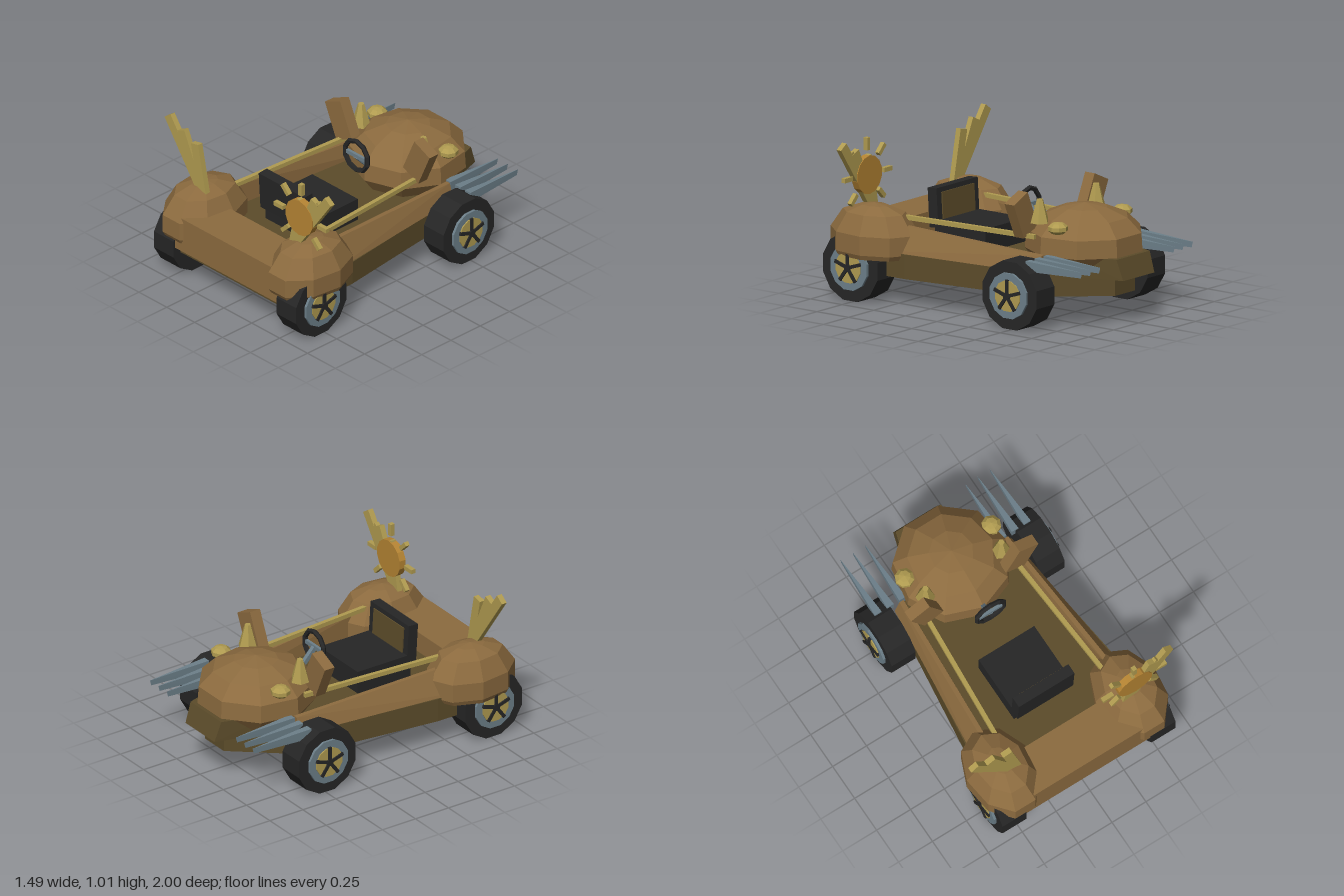
import * as THREE from 'three';
import { ConvexGeometry } from 'three/addons/geometries/ConvexGeometry.js';

const mat = (name, color) => {
  const m = new THREE.MeshStandardMaterial({ color });
  m.name = name;
  return m;
};

export function createModel() {
  const brown = mat('brown', 0x8c6b3f), olive = mat('dark olive', 0x5c4c2a);
  const black = mat('black', 0x262626), gold = mat('pale gold', 0xb09b50);
  const steel = mat('blue grey', 0x6c7f89), orange = mat('orange', 0xb58433);
  const model = new THREE.Group();

  // Adds a mesh with one normal per face
  const add = (name, geo, material, x = 0, y = 0, z = 0, parent = model) => {
    const flat = geo.index ? geo.toNonIndexed() : geo;
    flat.computeVertexNormals();
    const mesh = new THREE.Mesh(flat, material);
    mesh.name = name;
    mesh.position.set(x, y, z);
    parent.add(mesh);
    return mesh;
  };
  const box = (w, h, d) => new THREE.BoxGeometry(w, h, d);
  const hullOf = (pts) => new ConvexGeometry(pts.map((p) => new THREE.Vector3(...p)));
  const dome = (profile, sides, rx, rz) =>
    new THREE.LatheGeometry(profile.map((p) => new THREE.Vector2(...p)), sides).scale(rx, 1, rz);
  // Straight bar between two points
  const bar = (name, a, b, w, h, material) => {
    const from = new THREE.Vector3(...a), to = new THREE.Vector3(...b);
    const mesh = add(name, box(w, h, from.distanceTo(to)), material);
    mesh.position.copy(from).lerp(to, 0.5);
    mesh.lookAt(to);
    return mesh;
  };

  // Floor pan with a narrow tail
  const half = [[0.1, -0.89], [0.43, -0.5], [0.545, 0.42], [0.55, 0.93]];
  const outline = [...half, ...half.map(([x, z]) => [-x, z]).reverse()];
  const pan = new THREE.Shape(outline.map(([x, z]) => new THREE.Vector2(x, -z)));
  add('floorPan', new THREE.ExtrudeGeometry(pan, { depth: 0.155, bevelEnabled: false }).rotateX(-Math.PI / 2),
    olive, 0, 0.18, 0);

  // Front panel
  add('frontPanel', box(0.92, 0.235, 0.3), brown, 0, 0.352, 0.83);

  // Head and jaw
  add('head', dome([[0, 0.3], [0.8, 0.33], [1, 0.43], [0.98, 0.545], [0.74, 0.635], [0.38, 0.69], [0, 0.715]],
    9, 0.37, 0.376), brown, 0, 0, -0.576);
  const jaw = [];
  for (const s of [-1, 1]) {
    jaw.push([s * 0.155, 0.3, -1], [s * 0.165, 0.43, -0.955], [s * 0.26, 0.43, -0.65], [s * 0.26, 0.3, -0.65]);
  }
  add('jaw', hullOf(jaw), olive);

  // Seat with a framed backrest
  add('seatCushion', box(0.41, 0.15, 0.4), black, 0, 0.415, 0.25);
  const seatBack = new THREE.Group();
  seatBack.name = 'seatBack';
  seatBack.position.set(0, 0.565, 0.465);
  seatBack.rotation.x = 0.06;
  model.add(seatBack);
  add('backrest', box(0.41, 0.25, 0.07), black, 0, 0, 0, seatBack);
  add('backrestPanel', box(0.32, 0.17, 0.008), olive, 0, 0.01, -0.039, seatBack);

  // Steering wheel and column
  const wheel = add('steeringWheel', new THREE.TorusGeometry(0.103, 0.017, 5, 10), black, 0, 0.638, -0.133);
  wheel.rotation.z = Math.PI / 10;
  bar('steeringColumn', [0, 0.635, -0.13], [0, 0.52, -0.24], 0.028, 0.028, steel);
  bar('steeringSpoke', [-0.1, 0.638, -0.133], [0.1, 0.638, -0.133], 0.02, 0.025, steel);

  for (const s of [-1, 1]) {
    // Sloping side wall and the gold rail above it
    add('sideWall', hullOf([
      [s * 0.555, 0.335, 0.6], [s * 0.48, 0.505, 0.6], [s * 0.45, 0.505, 0.6], [s * 0.45, 0.335, 0.6],
      [s * 0.435, 0.335, -0.55], [s * 0.4, 0.44, -0.55], [s * 0.37, 0.44, -0.55], [s * 0.35, 0.335, -0.55],
    ]), brown);
    bar('sideRail', [s * 0.395, 0.532, 0.53], [s * 0.325, 0.532, -0.44], 0.028, 0.028, gold);

    // Rounded fender over the front wheel and its inner bowl
    add('fender', dome([[0, 0.29], [0.94, 0.29], [1, 0.32], [1, 0.44], [0.72, 0.56], [0.32, 0.602], [0, 0.615]],
      9, 0.218, 0.304).rotateY(Math.PI), brown, s * 0.475, 0, 0.714);
    add('fenderBowl', dome([[0, 0.13], [0.45, 0.145], [0.85, 0.21], [1, 0.3], [0, 0.31]],
      9, 0.2, 0.26).rotateY(Math.PI), brown, s * 0.37, 0, 0.7);

    // Fan of three planks on each fender
    for (const [x0, y0, x1, y1] of [[0.4, 0.55, 0.718, 1], [0.41, 0.54, 0.598, 0.946], [0.4, 0.54, 0.476, 0.9]]) {
      const plank = add('plank', box(0.066, Math.hypot(x1 - x0, y1 - y0), 0.036), gold,
        s * (x0 + x1) / 2, (y0 + y1) / 2, 0.78);
      plank.rotation.z = -s * Math.atan2(x1 - x0, y1 - y0);
    }

    // Ears, horns and eyes
    const ear = add('ear', box(0.15, 0.25, 0.075), brown, s * 0.35, 0.665, -0.348);
    ear.rotation.z = -s * 0.42;
    add('horn', new THREE.CylinderGeometry(0.02, 0.062, 0.15, 6), gold, s * 0.28, 0.69, -0.44);
    add('eye', new THREE.SphereGeometry(0.066, 8, 5).scale(1, 0.62, 1), gold, s * 0.32, 0.61, -0.615);

    // Three pointed blades behind each rear wheel
    for (const x of [0.37, 0.46, 0.55]) {
      const pts = [[s * x, 0.385, -0.98], [s * x, 0.422, -0.99]];
      for (const d of [-0.025, 0.025]) pts.push([s * x + d, 0.375, -0.56], [s * x + d, 0.44, -0.56]);
      add('blade', hullOf(pts), steel);
    }

    // Wheels: tyre, rim, hub plate and five spokes
    for (const z of [0.775, -0.485]) {
      const group = new THREE.Group();
      group.name = z > 0 ? 'frontWheel' : 'rearWheel';
      group.position.set(s * 0.55, 0.222, z);
      model.add(group);
      const disc = (name, r, w, sides, m, x) =>
        add(name, new THREE.CylinderGeometry(r, r, w, sides).rotateY(Math.PI / sides).rotateZ(Math.PI / 2),
          m, s * x, 0, 0, group);
      disc('tyre', 0.222, 0.176, 12, black, 0);
      disc('rim', 0.148, 0.03, 12, steel, 0.09);
      disc('hubPlate', 0.1, 0.008, 12, gold, 0.108);
      disc('hubCap', 0.025, 0.016, 8, black, 0.115);
      for (let i = 0; i < 5; i++) {
        const a = (i / 5) * Math.PI * 2;
        const spoke = add('spoke', box(0.014, 0.105, 0.022), black,
          s * 0.114, Math.cos(a) * 0.052, Math.sin(a) * 0.052, group);
        spoke.rotation.x = a;
      }
    }
  }

  // Axles
  for (const z of [0.775, -0.485]) {
    add('axle', new THREE.CylinderGeometry(0.03, 0.03, 0.96, 8).rotateZ(Math.PI / 2), black, 0, 0.222, z);
  }

  // Sun ornament with eight rays on the left fender
  const sun = new THREE.Group();
  sun.name = 'sunOrnament';
  sun.position.set(0.466, 0.78, 0.78);
  model.add(sun);
  add('sunDisc', new THREE.CylinderGeometry(0.123, 0.123, 0.046, 14).rotateX(Math.PI / 2), orange, 0, 0, 0, sun);
  for (let i = 0; i < 8; i++) {
    const a = (i / 8) * Math.PI * 2;
    const ray = add('sunRay', box(0.08, 0.028, 0.03), gold, Math.cos(a) * 0.195, Math.sin(a) * 0.195, 0, sun);
    ray.rotation.z = a;
  }
  return model;
}
